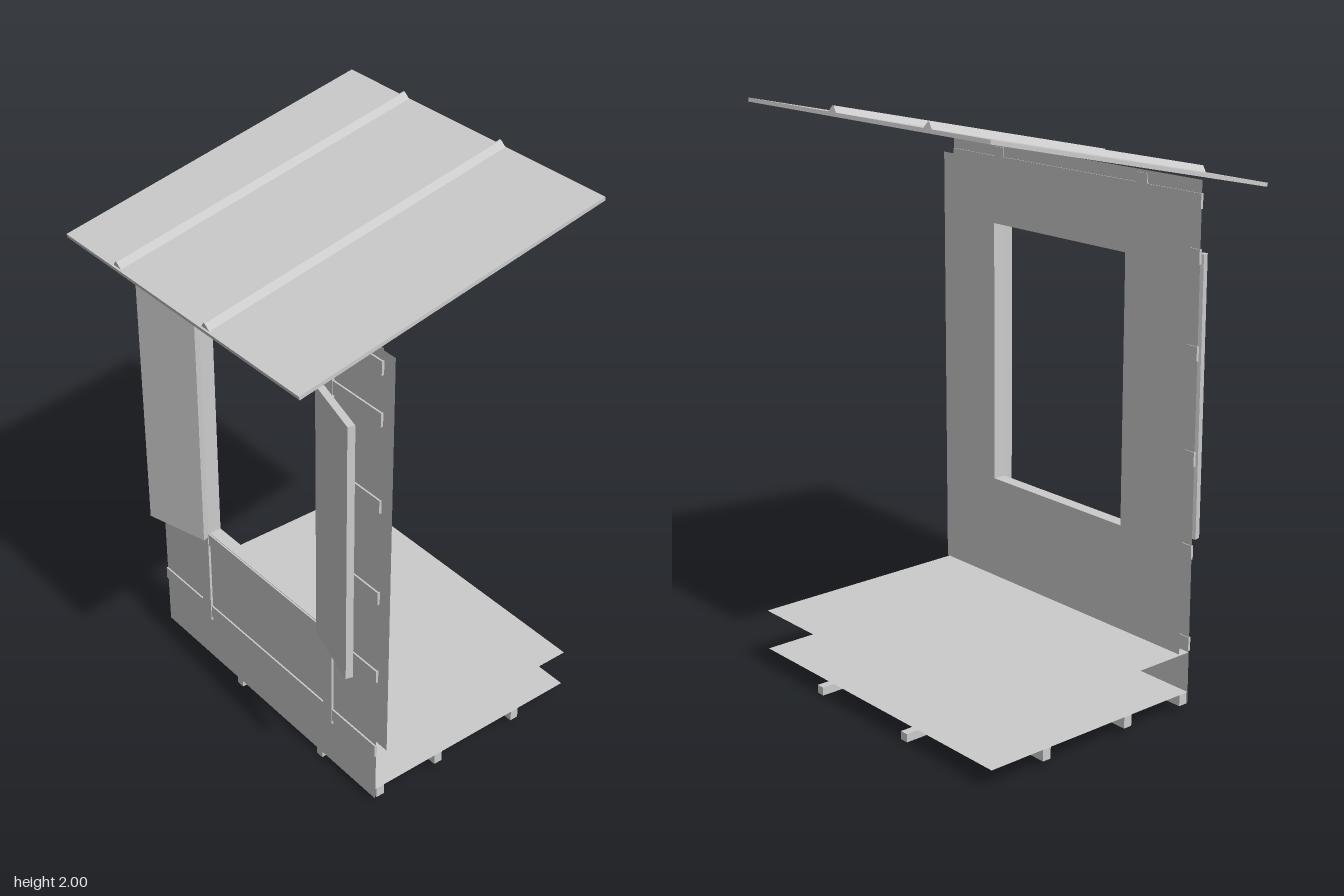
import * as THREE from 'three';

const mat = new THREE.MeshStandardMaterial({ color: 0xcccccc, flatShading: true, side: THREE.DoubleSide });

// window opening
const X0 = -0.315, X1 = 0.33, Y0 = 0.59, Y1 = 1.515;
const FRONT = 0.275, BACK = 0.23;

export function createModel() {
  const root = new THREE.Group();

  const add = (name, geometry, parent = root) => {
    const m = new THREE.Mesh(geometry, mat);
    m.name = name;
    parent.add(m);
    return m;
  };
  // box from min and max limits
  const box = (name, x0, x1, y0, y1, z0, z1, parent = root) => {
    const m = add(name, new THREE.BoxGeometry(x1 - x0, y1 - y0, z1 - z0), parent);
    m.position.set((x0 + x1) / 2, (y0 + y1) / 2, (z0 + z1) / 2);
    return m;
  };
  const rect = (T, x0, x1, y0, y1) => new T([[x0, y0], [x1, y0], [x1, y1], [x0, y1]].map(p => new THREE.Vector2(...p)));

  // thin wall skins with a window hole
  const wall = (name, y0, y1, z) => {
    const s = rect(THREE.Shape, -0.6, 0.6, y0, y1);
    s.holes.push(rect(THREE.Path, X0, X1, Y0, Y1));
    add(name, new THREE.ShapeGeometry(s)).position.z = z;
  };
  wall('outerWall', 0.03, 1.78, FRONT);
  wall('innerWall', 0.22, 1.73, BACK);

  // window reveal between the two skins
  const reveal = (name, w, h, x, y, rx, ry) => {
    const m = add(name, new THREE.PlaneGeometry(w, h));
    m.rotation.set(rx, ry, 0);
    m.position.set(x, y, (FRONT + BACK) / 2);
  };
  const depth = FRONT - BACK, cx = (X0 + X1) / 2, cy = (Y0 + Y1) / 2;
  reveal('windowSideRight', depth, Y1 - Y0, X0, cy, 0, Math.PI / 2);
  reveal('windowSideLeft', depth, Y1 - Y0, X1, cy, 0, -Math.PI / 2);
  reveal('windowSill', X1 - X0, depth, cx, Y0, -Math.PI / 2, 0);
  reveal('windowHead', X1 - X0, depth, cx, Y1, Math.PI / 2, 0);

  // timber trim on the front
  for (const [x0, x1] of [[-0.365, X0], [X1, 0.377]])
    box('postTrim', x0, x1, 0.205, 1.77, FRONT - 0.003, 0.284);
  for (const y of [0.22, 0.54, 1.515, 1.69])
    box('railTrim', -0.6, 0.6, y, y + 0.048, FRONT - 0.003, 0.281);
  for (const y of [0.857, 1.205]) {
    box('sideRailTrim', -0.6, X0, y, y + 0.048, FRONT - 0.003, 0.281);
    box('sideRailTrim', X1, 0.6, y, y + 0.048, FRONT - 0.003, 0.281);
  }

  // shutters swung slightly off the wall, hinged at the opening
  for (const side of [-1, 1]) {
    const hinge = new THREE.Group();
    hinge.name = side > 0 ? 'leftShutter' : 'rightShutter';
    hinge.position.set(side > 0 ? X1 : X0, 0, 0.281);
    hinge.rotation.y = -side * 0.27;
    const a = side > 0 ? 0 : -0.243;
    box('shutterPanel', a, a + 0.243, 0.577, 1.53, 0, 0.025, hinge);
    root.add(hinge);
  }

  // two floor sheets
  for (const [name, y] of [['upperFloor', 0.215], ['lowerFloor', 0.073]]) {
    const m = add(name, new THREE.PlaneGeometry(1.2, 0.85));
    m.rotation.x = -Math.PI / 2;
    m.position.set(0, y, -0.15);
  }

  // beams across and runners below
  for (const z of [-0.35, 0, 0.253])
    box('crossBeam', -0.6, 0.6, 0.033, 0.072, z - 0.016, z + 0.016);
  for (const x of [-0.16, 0.3])
    box('runner', x - 0.015, x + 0.015, 0.004, 0.033, -0.57, 0.275);

  // sloping roof with triangular ribs
  const roof = new THREE.Group();
  roof.name = 'roof';
  roof.position.set(0, 1.855, 0);
  roof.rotation.x = Math.atan2(0.248, 1.147);
  root.add(roof);
  box('roofPanel', -0.6, 0.6, -0.0065, 0.0065, -0.587, 0.587, roof);
  for (const x of [-0.318, 0.147]) {
    const s = new THREE.Shape([[-0.021, 0], [0.021, 0], [0.003, 0.022], [-0.003, 0.022]].map(p => new THREE.Vector2(...p)));
    const rib = add('roofRib', new THREE.ExtrudeGeometry(s, { depth: 1.165, bevelEnabled: false }), roof);
    rib.position.set(x, 0.005, -0.585);
  }
  return root;
}
